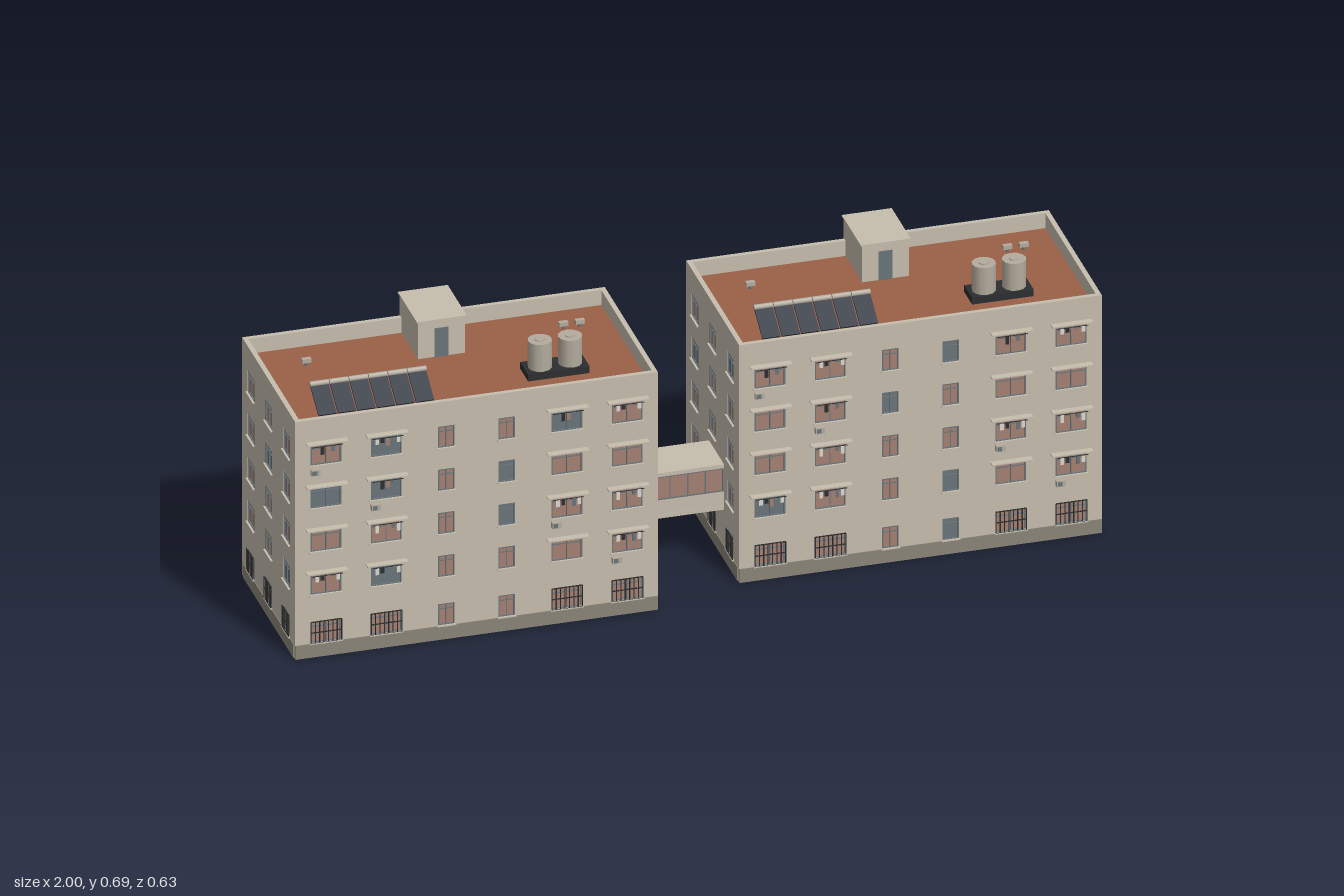
import * as THREE from 'three';
import { mergeGeometries } from 'three/addons/utils/BufferGeometryUtils.js';

const material = (name, color) => {
  const m = new THREE.MeshStandardMaterial({ color });
  m.name = name;
  return m;
};
const M = {
  wall: material('beige render', 0xc6bdad),
  base: material('grey plinth', 0x8a8579),
  roof: material('brick red roof', 0x9a6047),
  curtain: material('pink curtain', 0xa58072),
  slate: material('slate glass and frame', 0x69747a),
  bars: material('black iron', 0x2b2d2e),
  panel: material('navy solar panel', 0x222a3a),
  metal: material('pale metal', 0xb3ab9d),
  cloth: material('white cloth', 0xdcd8d0),
};

const W = 0.885, D = 0.44, H = 0.63, T = 0.012, ROOF = 0.59;
const FLOORS = [0.037, 0.165, 0.279, 0.394, 0.508];
const WIN_H = 0.057;

// Collects boxes by part name and merges each part into one mesh
function kit(name) {
  const group = new THREE.Group();
  group.name = name;
  const parts = new Map();
  const add = (part, mat, geo) => {
    const key = part + '|' + mat.name;
    if (!parts.has(key)) parts.set(key, { part, mat, geos: [] });
    parts.get(key).geos.push(geo.index ? geo.toNonIndexed() : geo);
  };
  const box = (part, mat, w, h, d, x, y, z, rx = 0) =>
    add(part, mat, new THREE.BoxGeometry(w, h, d).rotateX(rx).translate(x, y, z));
  const finish = () => {
    for (const { part, mat, geos } of parts.values()) {
      const mesh = new THREE.Mesh(mergeGeometries(geos), mat);
      mesh.name = part;
      group.add(mesh);
    }
    return group;
  };
  return { group, add, box, finish };
}

// One outside wall: x runs along it, z points outward.
// cols: [position, width, height]; look: one string per floor, P curtain, B bare glass
function facade(name, width, cols, look, extras = {}) {
  const k = kit(name);
  const shape = new THREE.Shape();
  shape.moveTo(-width / 2, 0).lineTo(width / 2, 0).lineTo(width / 2, H).lineTo(-width / 2, H).closePath();
  FLOORS.forEach((sill, f) => cols.forEach(([u, w, h], c) => {
    const y = sill + (WIN_H - h) / 2, mid = y + h / 2;
    const hole = new THREE.Path();
    hole.moveTo(u - w / 2, y).lineTo(u - w / 2, y + h).lineTo(u + w / 2, y + h).lineTo(u + w / 2, y).closePath();
    shape.holes.push(hole);

    // Pane, frame, mullions and sill
    k.box('windowPanes', look[f][c] === 'B' ? M.slate : M.curtain, w, h, 0.004, u, mid, -0.006);
    for (const s of [-1, 1]) {
      k.box('windowFrames', M.slate, 0.003, h, 0.007, u + s * (w / 2 - 0.0015), mid, -0.004);
      k.box('windowFrames', M.slate, w, 0.003, 0.007, u, mid + s * (h / 2 - 0.0015), -0.004);
    }
    k.box('windowFrames', M.slate, 0.002, h, 0.006, u, mid, -0.004);
    if (h > 0.04) k.box('windowFrames', M.slate, w, 0.002, 0.006, u, y + h * 0.76, -0.004);
    k.box('windowSills', M.wall, w + 0.006, 0.003, 0.007, u, y - 0.0005, 0.0015);

    // Iron bars at street level
    if (f === 0 && w > 0.05) {
      const n = Math.round(w / 0.011);
      for (let i = 0; i <= n; i++)
        k.box('windowBars', M.bars, 0.0022, h, 0.0022, u + (i / n - 0.5) * w, mid, 0.003);
      for (const t of [-0.5, 0, 0.5])
        k.box('windowBars', M.bars, w, 0.0022, 0.0022, u, mid + t * h, 0.003);
    }

    // Thin canopies above the wide windows
    if (extras.canopies && f > 0 && w > 0.06)
      k.box('canopies', M.wall, 0.1, 0.003, 0.018, u, y + h + 0.005, 0.009);

    // Washing on a rail
    if (extras.washing?.[f]?.includes(c)) {
      k.box('washingRails', M.bars, w, 0.0015, 0.0015, u, y + h - 0.002, 0.014);
      [M.cloth, M.bars, M.curtain, M.slate, M.cloth].forEach((m, i) => {
        const drop = 0.012 + ((i * 3 + f + c) % 4) * 0.003;
        if ((i + c + f) % 4)
          k.box('washing', m, 0.009, drop, 0.0015, u - 0.026 + i * 0.013, y + h - 0.002 - drop / 2, 0.014);
      });
    }
  }));
  k.add('wall', M.wall, new THREE.ExtrudeGeometry(shape, { depth: T, bevelEnabled: false }).translate(0, 0, -T));

  // Cooling units
  (extras.coolers || []).forEach(([u, y]) => {
    k.box('coolingUnits', M.metal, 0.022, 0.015, 0.011, u, y, 0.0065);
    k.box('coolingGrilles', M.slate, 0.011, 0.011, 0.001, u - 0.003, y, 0.0122);
  });
  // Plinth
  k.box('plinth', M.base, width, 0.036, 0.003, 0, 0.018, 0.0005);
  return k.finish();
}

function rooftop() {
  const k = kit('rooftop');
  k.box('roofDeck', M.roof, W - 2 * T, 0.006, D - 2 * T, 0, ROOF - 0.003, 0);

  // Stair house with cap and door
  k.box('stairHouse', M.wall, 0.114, 0.687 - ROOF, 0.152, 0, (0.687 + ROOF) / 2, -0.147);
  k.box('stairHouseCap', M.wall, 0.122, 0.004, 0.158, 0, 0.688, -0.147);
  k.box('stairDoor', M.slate, 0.034, 0.076, 0.004, 0, ROOF + 0.038, -0.071);

  // Water tanks on a stand
  k.box('tankStand', M.bars, 0.15, 0.018, 0.066, 0.234, ROOF + 0.009, 0.075);
  for (const x of [0.197, 0.271]) {
    k.add('waterTanks', M.metal, new THREE.CylinderGeometry(0.029, 0.029, 0.072, 12).translate(x, 0.643, 0.075));
    k.add('tankLids', M.metal, new THREE.CylinderGeometry(0.012, 0.012, 0.003, 10).translate(x, 0.68, 0.075));
  }

  // Solar heaters: tilted panels, header tanks and legs
  for (let i = 0; i < 6; i++) {
    const x = -0.346 + i * 0.0476;
    k.box('solarPanels', M.panel, 0.044, 0.004, 0.084, x, 0.628, 0.125, 0.58);
    k.add('solarHeaders', M.metal, new THREE.CylinderGeometry(0.007, 0.007, 0.046, 8).rotateZ(Math.PI / 2).translate(x, 0.653, 0.09));
    k.box('solarLegs', M.slate, 0.004, 0.06, 0.004, x, 0.62, 0.092);
    k.box('solarLegs', M.slate, 0.004, 0.02, 0.004, x, 0.598, 0.157);
  }

  // Small roof vents
  for (const [x, z] of [[-0.317, -0.115], [0.312, -0.12], [0.352, -0.12]]) {
    k.box('vents', M.metal, 0.022, 0.01, 0.012, x, ROOF + 0.014, z);
    k.box('ventPosts', M.slate, 0.006, 0.012, 0.006, x, ROOF + 0.006, z);
  }
  return k.finish();
}

function porch() {
  const k = kit('entrance');
  const z = -D / 2;
  k.box('stairBay', M.wall, 0.114, ROOF, 0.006, 0, 0.035 + ROOF / 2, z - 0.001);
  for (const s of [-1, 1]) {
    k.box('porchWalls', M.wall, 0.012, 0.127, 0.075, s * 0.078, 0.0635, z - 0.0375);
    k.box('porchPlinth', M.base, 0.014, 0.02, 0.076, s * 0.078, 0.01, z - 0.038);
  }
  k.box('porchRoof', M.wall, 0.19, 0.01, 0.084, 0, 0.131, z - 0.042);
  k.box('porchFloor', M.base, 0.15, 0.006, 0.075, 0, 0.003, z - 0.0375);
  k.box('frontStep', M.base, 0.11, 0.003, 0.022, 0, 0.0015, z - 0.085);
  k.box('entranceDoor', M.slate, 0.07, 0.09, 0.004, 0, 0.051, z - 0.004);
  return k.finish();
}

function block(name, x, z, looks) {
  const g = new THREE.Group();
  g.name = name;
  const wide = 0.075, narrow = 0.04;
  const frontCols = [-0.3675, -0.2205, -0.0735, 0.0735, 0.2205, 0.3675]
    .map((u) => [u, Math.abs(u) < 0.1 ? narrow : wide, WIN_H]);
  const backCols = [-0.3675, -0.2205, -0.1, 0.1, 0.2205, 0.3675]
    .map((u) => (Math.abs(u) < 0.15 ? [u, 0.028, 0.034] : [u, wide, WIN_H]));
  const sideCols = [-0.147, 0, 0.147].map((u) => [u, 0.055, WIN_H]);

  const front = facade('frontWall', W, frontCols, looks.front, {
    canopies: true,
    washing: { 1: [0, 1, 5], 2: [1, 4, 5], 3: [1], 4: [0, 1, 4, 5] },
    coolers: [[-0.395, 0.493], [-0.248, 0.379], [0.193, 0.265], [0.34, 0.15]],
  });
  front.position.z = D / 2;
  const back = facade('backWall', W, backCols, looks.back, {
    canopies: true,
    coolers: [[-0.395, 0.493], [-0.248, 0.379], [0.193, 0.265], [0.34, 0.15]],
  });
  back.rotation.y = Math.PI;
  back.position.z = -D / 2;
  g.add(front, back);
  for (const s of [1, -1]) {
    const side = facade(s > 0 ? 'leftWall' : 'rightWall', D - 2 * T, sideCols, s > 0 ? looks.plusX : looks.minusX);
    side.rotation.y = s * Math.PI / 2;
    side.position.x = s * W / 2;
    g.add(side);
  }
  g.add(rooftop(), porch());
  g.position.set(x, 0, z);
  return g;
}

// Glazed link between the two blocks
function bridge() {
  const k = kit('linkBridge');
  const z = 0.0325, L = 0.222;
  k.box('bridgeFloor', M.wall, L, 0.01, 0.125, 0, 0.135, z);
  k.box('bridgeRoof', M.wall, L, 0.01, 0.125, 0, 0.245, z);
  for (const s of [-1, 1]) {
    const f = z + s * 0.0575;
    k.box('bridgeParapets', M.wall, L, 0.04, 0.008, 0, 0.158, f);
    k.box('bridgeGlazing', M.curtain, L, 0.062, 0.004, 0, 0.209, f);
    for (let i = 0; i <= 5; i++)
      k.box('bridgeMullions', M.slate, 0.003, 0.062, 0.007, (i / 5 - 0.5) * 0.215, 0.209, f);
    for (const y of [0.1795, 0.2385]) k.box('bridgeMullions', M.slate, L, 0.003, 0.007, 0, y, f);
  }
  return k.finish();
}

export function createModel() {
  const model = new THREE.Group();
  model.name = 'apartmentBlocks';
  // Floors listed from the ground up
  model.add(
    block('rightBlock', -0.5525, 0.0725, {
      front: ['PPPPPP', 'PBPPPP', 'PPPBPP', 'BBPBPP', 'PBPPBP'],
      back: ['PPPPPP', 'PBPPPP', 'PPPPBP', 'PPBPPP', 'BPPPPB'],
      plusX: ['PPP', 'BPP', 'BPP', 'BPB', 'PPP'],
      minusX: ['PPP', 'PPB', 'PPP', 'PBP', 'PPP'],
    }),
    block('leftBlock', 0.5525, 0, {
      front: ['PPPBPP', 'BPPBPP', 'PPPPPP', 'PPBPPP', 'PPPBPP'],
      back: ['PPPPPB', 'PPPPBP', 'BPPPPP', 'PPPBPP', 'PBPPPB'],
      plusX: ['PPB', 'PPP', 'PPP', 'BPP', 'PBB'],
      minusX: ['PPP', 'PBP', 'PPP', 'BPP', 'PPB'],
    }),
    bridge(),
  );
  return model;
}
